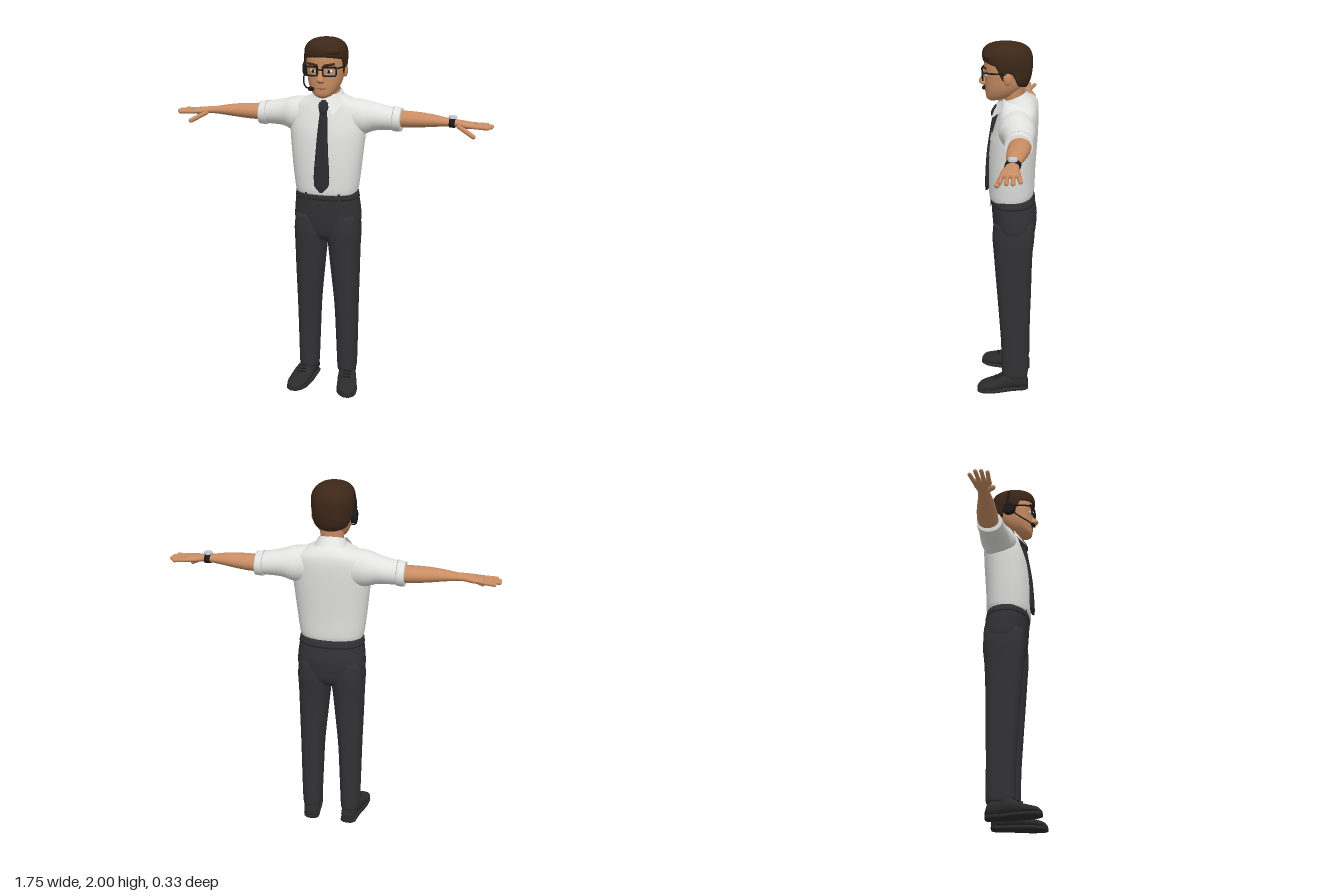
import * as THREE from 'three';

const mat = (name, color, side = THREE.FrontSide) => {
  const m = new THREE.MeshStandardMaterial({ color, side });
  m.name = name;
  return m;
};

// Smooth sampling of section rows [t, aLow, aHigh, bLow, bHigh]
function sample(rows, t) {
  const n = rows.length;
  let i = 0;
  while (i < n - 2 && t > rows[i + 1][0]) i++;
  const r0 = rows[Math.max(i - 1, 0)], r1 = rows[i], r2 = rows[i + 1], r3 = rows[Math.min(i + 2, n - 1)];
  const h = r2[0] - r1[0], u = THREE.MathUtils.clamp((t - r1[0]) / h, 0, 1);
  return [1, 2, 3, 4].map((k) => {
    const m1 = ((r2[k] - r0[k]) / (r2[0] - r0[0])) * h, m2 = ((r3[k] - r1[k]) / (r3[0] - r1[0])) * h;
    return (2 * u ** 3 - 3 * u * u + 1) * r1[k] + (u ** 3 - 2 * u * u + u) * m1
      + (3 * u * u - 2 * u ** 3) * r2[k] + (u ** 3 - u * u) * m2;
  });
}
const power = (v, p) => Math.sign(v) * Math.abs(v) ** p;
function ringPoint([a0, a1, b0, b1], angle, p = 1, grow = 1) {
  return [(a0 + a1) / 2 + ((a1 - a0) / 2) * power(Math.cos(angle), p) * grow,
    (b0 + b1) / 2 + ((b1 - b0) / 2) * power(Math.sin(angle), p) * grow];
}

// Skin a grid of loops; rings run from first to last
function skinLoops(loops, flip, caps = true) {
  const seg = loops[0].length, pos = loops.flat(2), idx = [];
  const tri = (a, b, c) => (flip ? idx.push(a, c, b) : idx.push(a, b, c));
  for (let r = 0; r < loops.length - 1; r++) for (let s = 0; s < seg; s++) {
    const a = r * seg + s, b = r * seg + (s + 1) % seg;
    tri(a, a + seg, b);
    tri(b, a + seg, b + seg);
  }
  if (caps) [0, loops.length - 1].forEach((r, end) => {
    const c = pos.length / 3, mid = [0, 1, 2].map((k) => loops[r].reduce((s, p) => s + p[k], 0) / seg);
    pos.push(...mid);
    for (let s = 0; s < seg; s++) {
      const a = r * seg + s, b = r * seg + (s + 1) % seg;
      end ? tri(a, c, b) : tri(a, b, c);
    }
  });
  const g = new THREE.BufferGeometry();
  g.setAttribute('position', new THREE.Float32BufferAttribute(pos, 3));
  g.setIndex(idx);
  g.computeVertexNormals();
  return g;
}

// Loft along an axis: y rows give x,z; x rows give y,z; z rows give x,y
function loft(rows, { axis = 'y', p = 1, seg = 36, tilt = 0, caps = true } = {}) {
  const loops = [];
  rows.forEach((row, i) => {
    const steps = i < rows.length - 1 ? 4 : 1;
    for (let k = 0; k < steps; k++) {
      const t = steps === 1 ? row[0] : row[0] + ((rows[i + 1][0] - row[0]) * k) / steps;
      const sec = sample(rows, t);
      loops.push(Array.from({ length: seg }, (_, s) => {
        const [a, b] = ringPoint(sec, (s / seg) * Math.PI * 2, p);
        return axis === 'y' ? [a, t - tilt * b, b] : axis === 'x' ? [t, a, b] : [a, b, t];
      }));
    }
  });
  return skinLoops(loops, axis !== 'y', caps);
}

function mirrored(geo) {
  const g = geo.clone().scale(-1, 1, 1);
  const ix = g.index ? Array.from(g.index.array) : Array.from({ length: g.attributes.position.count }, (_, i) => i);
  for (let i = 0; i < ix.length; i += 3) [ix[i + 1], ix[i + 2]] = [ix[i + 2], ix[i + 1]];
  g.setIndex(ix);
  return g;
}

const V = (a) => new THREE.Vector3(...a);
function rod(a, b, r) {
  const d = V(b).sub(V(a));
  const q = new THREE.Quaternion().setFromUnitVectors(new THREE.Vector3(0, 1, 0), d.clone().normalize());
  const mid = V(a).add(V(b)).multiplyScalar(0.5);
  return new THREE.CapsuleGeometry(r, d.length(), 5, 10).applyQuaternion(q).translate(mid.x, mid.y, mid.z);
}
const tube = (pts, r) => new THREE.TubeGeometry(new THREE.CatmullRomCurve3(pts.map(V)), 24, r, 8);
const box = (w, h, d, x, y, z) => new THREE.BoxGeometry(w, h, d).translate(x, y, z);
const ball = (x, y, z, sx, sy, sz) => new THREE.SphereGeometry(1, 20, 14).scale(sx, sy, sz).translate(x, y, z);

// Thin patch hugging the front of a vertical loft
function patch(rows, p, x0, x1, y0, y1, lift) {
  const g = new THREE.PlaneGeometry(x1 - x0, y1 - y0, 8, 8).translate((x0 + x1) / 2, (y0 + y1) / 2, 0);
  const q = g.attributes.position;
  for (let i = 0; i < q.count; i++) {
    const [a0, a1, b0, b1] = sample(rows, q.getY(i));
    const a = Math.min(Math.abs((q.getX(i) - (a0 + a1) / 2) / ((a1 - a0) / 2)), 0.99);
    q.setZ(i, (b0 + b1) / 2 + ((b1 - b0) / 2) * (1 - a ** (2 / p)) ** (p / 2) + lift);
  }
  g.computeVertexNormals();
  return g;
}

export function createModel() {
  const root = new THREE.Group();
  const shirt = mat('shirt white', 0xe2e2e0, THREE.DoubleSide), cloth = mat('trouser charcoal', 0x323235);
  const leather = mat('shoe leather', 0x2b2b2c), tieCloth = mat('tie cloth', 0x2b2c31);
  const skin = mat('skin', 0xc98d63), hair = mat('hair brown', 0x3c2718), black = mat('black plastic', 0x1a1a1c);
  const silver = mat('watch silver', 0xc8ccd0), lip = mat('lips', 0xa3654c), white = mat('eye white', 0xe6e0d8);
  const add = (name, geo, m) => {
    const mesh = new THREE.Mesh(geo, m);
    mesh.name = name;
    root.add(mesh);
  };
  const pair = (name, geo, m) => {
    add(name + 'Left', geo, m);
    add(name + 'Right', mirrored(geo), m);
  };

  // Shirt body, sleeves and rolled cuffs
  const torso = [[1.165, -.168, .168, -.137, .096], [1.2, -.175, .175, -.145, .1], [1.3, -.187, .187, -.148, .1],
    [1.4, -.197, .197, -.154, .095], [1.5, -.206, .206, -.16, .083], [1.58, -.207, .207, -.162, .062],
    [1.635, -.19, .19, -.157, .045], [1.67, -.13, .13, -.14, .035], [1.7, -.065, .065, -.1, .02]];
  add('shirtBody', loft(torso, { p: .85, seg: 48 }), shirt);
  pair('sleeve', loft([[.08, 1.47, 1.675, -.14, .03], [.19, 1.48, 1.667, -.157, .035], [.25, 1.502, 1.651, -.155, .012],
    [.32, 1.507, 1.636, -.15, -.004], [.385, 1.507, 1.624, -.147, -.014]], { axis: 'x' }), shirt);
  pair('sleeveCuff', loft([[.35, 1.503, 1.634, -.152, -.007], [.37, 1.501, 1.631, -.152, -.008],
    [.393, 1.503, 1.627, -.15, -.01]], { axis: 'x' }), shirt);
  add('chestPocket', patch(torso, .85, .065, .16, 1.405, 1.535, .004), shirt);
  add('pocketFlap', patch(torso, .85, .062, .163, 1.495, 1.54, .008), shirt);

  // Collar band with two pointed flaps
  add('collarBand', loft([[1.645, -.1, .1, -.135, .05], [1.675, -.082, .082, -.115, .038],
    [1.703, -.068, .068, -.098, .024]], { tilt: .4, caps: false }), shirt);
  const flap = new THREE.BufferGeometry().setFromPoints(
    [[.006, 1.685, .05], [.055, 1.602, .086], [.1, 1.665, .02], [.07, 1.705, .015]].map(V));
  flap.setIndex([0, 1, 2, 0, 2, 3]);
  flap.computeVertexNormals();
  pair('collarFlap', flap, shirt);

  // Tie
  add('tieBlade', loft([[1.187, -.008, .008, .108, .12], [1.225, -.04, .04, .09, .122], [1.4, -.034, .034, .08, .112],
    [1.55, -.024, .024, .06, .09], [1.62, -.018, .018, .04, .076]], { p: .7, seg: 24 }), tieCloth);
  add('tieKnot', loft([[1.605, -.017, .017, .05, .086], [1.63, -.024, .024, .04, .086],
    [1.66, -.03, .03, .025, .07], [1.672, -.02, .02, .025, .055]], { seg: 20 }), tieCloth);

  // Trousers
  const pelvis = [[.89, -.08, .08, -.11, .04], [.93, -.155, .155, -.145, .064], [1, -.185, .185, -.158, .077],
    [1.06, -.184, .184, -.16, .082], [1.12, -.177, .177, -.15, .086], [1.178, -.168, .168, -.14, .089]];
  add('trouserSeat', loft(pelvis, { p: .85, seg: 44 }), cloth);
  add('waistband', loft([[1.135, -.178, .178, -.151, .091], [1.175, -.171, .171, -.144, .093]], { p: .85, seg: 44 }), cloth);
  add('fly', patch(pelvis, .85, -.004, .022, .96, 1.135, .004), cloth);
  pair('beltLoop', patch(pelvis, .85, .085, .097, 1.125, 1.175, .009), cloth);
  pair('trouserLeg', loft([[.085, .06, .165, -.122, .02], [.11, .058, .168, -.125, .026], [.3, .05, .172, -.125, .03],
    [.5, .041, .175, -.13, .043], [.7, .022, .18, -.134, .058], [.85, .007, .183, -.142, .069],
    [.95, -.005, .186, -.152, .076], [1.04, .01, .175, -.145, .07]], { p: .85 }), cloth);

  // Shoes, splayed outward, with soles and laces
  const shoe = [[-.125, .085, .132, .012, .05], [-.11, .07, .15, .01, .085], [-.04, .072, .165, .01, .108],
    [.02, .075, .184, .01, .095], [.06, .081, .195, .01, .072], [.11, .092, .2, .01, .056],
    [.145, .112, .194, .01, .045], [.163, .137, .172, .012, .028]];
  pair('shoe', loft(shoe, { axis: 'z', p: .85 }), leather);
  pair('shoeSole', loft(shoe.map(([z, a, b]) => [z * 1.01, a - .003, b + .003, 0, .02]), { axis: 'z', p: .4 }), leather);
  [.02, .04, .06].forEach((z, i) => pair('lace' + i, rod([.115, .094 - i * .009, z], [.155, .094 - i * .009, z + .004], .004), black));

  // Arms, hands and fingers
  pair('arm', loft([[.34, 1.525, 1.614, -.14, -.035], [.42, 1.525, 1.612, -.142, -.028], [.5, 1.531, 1.609, -.132, -.027],
    [.58, 1.54, 1.6, -.115, -.03], [.65, 1.547, 1.588, -.1, -.036], [.69, 1.547, 1.585, -.098, -.031],
    [.73, 1.542, 1.58, -.106, -.018], [.77, 1.543, 1.575, -.108, -.013], [.79, 1.55, 1.57, -.1, -.02]], { axis: 'x' }), skin);
  [[-.098, -.112, .842], [-.074, -.08, .866], [-.049, -.05, .865], [-.025, -.021, .85]].forEach(([z0, z1, tip], i) =>
    pair('finger' + i, rod([.76, 1.559, z0], [tip, 1.555, z1], .0105), skin));
  pair('thumb', rod([.7, 1.555, -.035], [.78, 1.512, -.002], .0125), skin);

  // Wristwatch
  add('watchStrap', loft([[.648, 1.541, 1.594, -.106, -.03], [.678, 1.541, 1.592, -.105, -.028]], { axis: 'x' }), black);
  add('watchCase', new THREE.CylinderGeometry(.021, .023, .012, 24).translate(.664, 1.597, -.067), silver);

  // Neck and head
  add('neck', loft([[1.63, -.064, .064, -.09, .015], [1.7, -.06, .06, -.085, .018], [1.79, -.064, .064, -.09, .03]]), skin);
  add('head', loft([[1.692, -.018, .018, .06, .092], [1.705, -.045, .045, .015, .109], [1.73, -.069, .069, -.04, .114],
    [1.77, -.087, .087, -.08, .116], [1.82, -.096, .096, -.1, .116], [1.87, -.1, .1, -.11, .12],
    [1.92, -.097, .097, -.11, .115], [1.96, -.07, .07, -.08, .085]], { p: .88, seg: 44 }), skin);
  add('nose', loft([[1.772, -.01, .01, .1, .125], [1.783, -.022, .022, .1, .145], [1.798, -.017, .017, .1, .149],
    [1.825, -.01, .01, .1, .132], [1.85, -.011, .011, .1, .121]], { seg: 20 }), skin);
  add('mouth', ball(0, 1.747, .112, .03, .005, .006), lip);
  pair('ear', ball(.101, 1.828, -.006, .013, .035, .022), skin);
  pair('eye', ball(.042, 1.835, .103, .018, .01, .014), white);
  pair('pupil', ball(.042, 1.835, .113, .008, .009, .006), black);
  pair('eyebrow', rod([.02, 1.866, .119], [.068, 1.873, .108], .006), hair);

  // Hair: a cap whose lower edge follows the hairline
  const hairRows = [[1.76, -.068, .068, -.096, .06], [1.8, -.098, .098, -.117, .09], [1.85, -.107, .107, -.128, .115],
    [1.9, -.112, .112, -.131, .126], [1.94, -.109, .109, -.125, .131], [1.97, -.091, .091, -.105, .118],
    [1.99, -.058, .058, -.065, .08], [2, -.008, .008, 0, .02]];
  const line = [[-1, 1.77], [-.45, 1.785], [-.2, 1.85], [0, 1.86], [.1, 1.81], [.25, 1.815], [.4, 1.89], [1, 1.908]];
  const hairline = (s) => {
    const i = Math.max(1, line.findIndex((l) => l[0] >= s)), [s0, y0] = line[i - 1], [s1, y1] = line[i];
    return y0 + ((y1 - y0) * (s - s0)) / (s1 - s0);
  };
  const caps = Array.from({ length: 20 }, (_, r) => Array.from({ length: 72 }, (_, s) => {
    const angle = (s / 72) * Math.PI * 2, v = Math.max(r - 1, 0) / 18, low = hairline(Math.min(1, Math.sin(angle)));
    const y = low + (2 - low) * Math.sin((v * Math.PI) / 2);
    const [x, z] = ringPoint(sample(hairRows, y), angle, .92, r === 0 ? .84 : 1);
    return [x, y, z];
  }));
  add('hair', skinLoops(caps, false), hair);
  add('hairQuiff', ball(.01, 1.936, .085, .085, .032, .046), hair);

  // Glasses: two rounded rims, bridge and temples
  const roundRect = (S, w, h, r) => {
    const s = new S();
    [[w - r, h - r, 0], [r - w, h - r, 1], [r - w, r - h, 2], [w - r, r - h, 3]].forEach(([x, y, k]) =>
      s.absarc(x, y, r, (k * Math.PI) / 2, ((k + 1) * Math.PI) / 2));
    return s;
  };
  const rim = roundRect(THREE.Shape, .038, .026, .014);
  rim.holes.push(roundRect(THREE.Path, .031, .019, .009));
  pair('glassesRim', new THREE.ExtrudeGeometry(rim, { depth: .007, bevelEnabled: false, curveSegments: 6 })
    .rotateY(.15).translate(.048, 1.836, .122), black);
  pair('glassesBrow', box(.076, .008, .009, 0, 0, 0).rotateY(.15).translate(.048, 1.859, .126), black);
  add('glassesBridge', box(.026, .007, .007, 0, 1.845, .13), black);
  pair('glassesTemple', tube([[.084, 1.853, .12], [.1, 1.853, .07], [.106, 1.85, 0], [.106, 1.835, -.02]], .0045), black);

  // Headset on the right ear with band and microphone boom
  add('earCup', new THREE.CylinderGeometry(.033, .037, .026, 24).rotateZ(Math.PI / 2).translate(-.112, 1.83, -.01), black);
  add('headsetBand', tube([[-.117, 1.8, -.025], [-.12, 1.86, -.02], [-.117, 1.91, -.015], [-.106, 1.95, -.01]], .007), black);
  add('microphoneBoom', tube([[-.118, 1.815, 0], [-.11, 1.775, .05], [-.085, 1.75, .1], [-.05, 1.745, .124]], .004), black);
  add('microphone', rod([-.056, 1.745, .122], [-.042, 1.745, .127], .011), black);

  return root;
}
